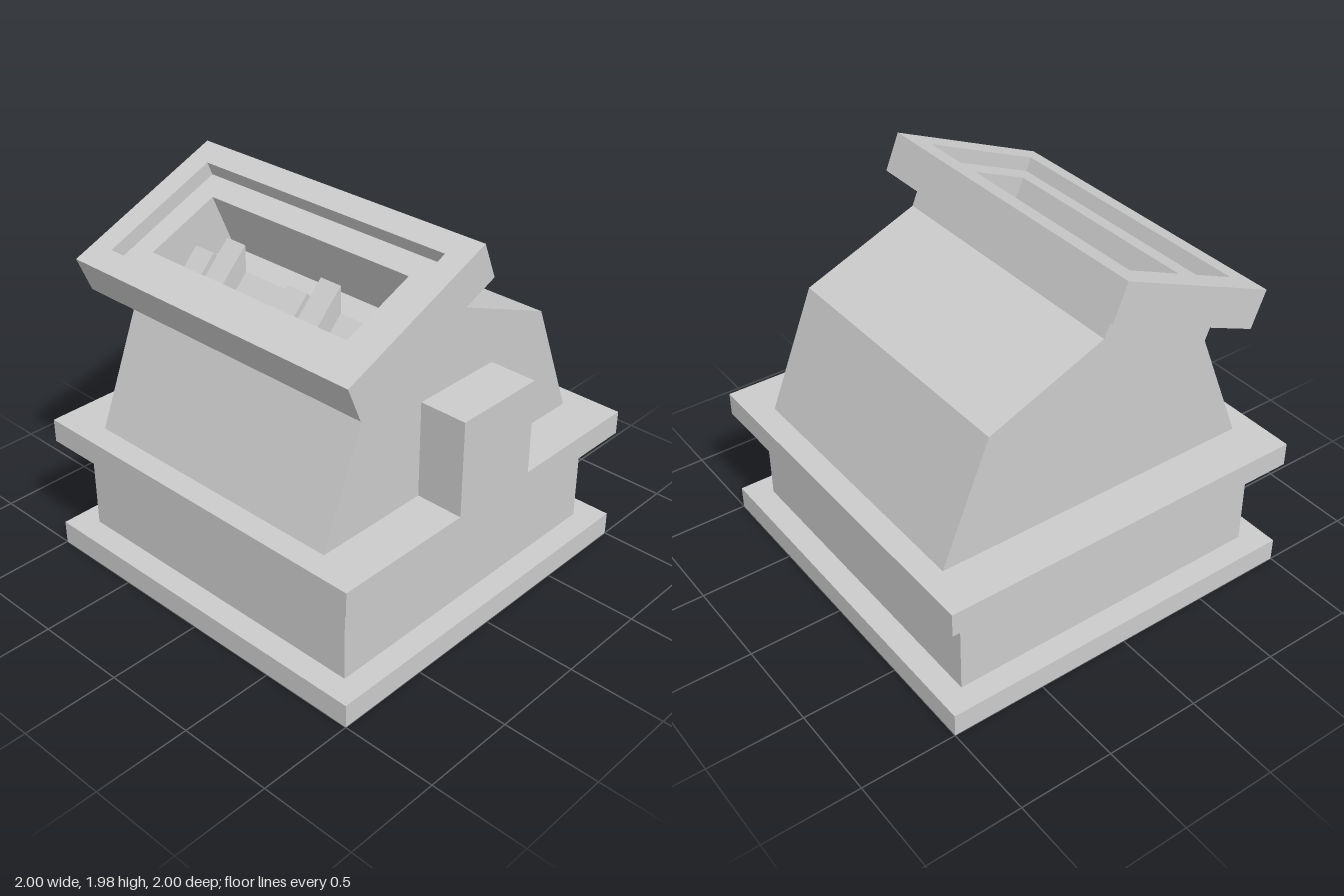
import * as THREE from 'three';

const material = new THREE.MeshStandardMaterial({ color: 0xcccccc, flatShading: true });
const TILT = Math.PI / 8;

// Point on the tilted rim's side plane: u runs down the slope, d into the machine; returns [z, y].
const slope = (u, d) => [
  0.01 + u * Math.cos(TILT) - d * Math.sin(TILT),
  1.98 - u * Math.sin(TILT) - d * Math.cos(TILT),
];

export function createModel() {
  const model = new THREE.Group();

  const add = (name, geometry) => {
    const mesh = new THREE.Mesh(geometry, material);
    mesh.name = name;
    model.add(mesh);
    return mesh;
  };

  const box = (name, w, h, d, x, y, z) =>
    add(name, new THREE.BoxGeometry(w, h, d)).position.set(x, y, z);

  // Side profile of [z, y] points, extruded along x from x0 to x1.
  const prism = (name, points, x0, x1) => {
    const shape = new THREE.Shape(points.map(([z, y]) => new THREE.Vector2(-z, y)));
    const geometry = new THREE.ExtrudeGeometry(shape, { depth: x1 - x0, bevelEnabled: false });
    geometry.rotateY(Math.PI / 2).translate(x0, 0, 0);
    return add(name, geometry);
  };

  // Stepped base
  box('bottomPlate', 2, 0.125, 2, 0, 0.0625, 0);
  box('baseBlock', 1.75, 0.5, 1.75, 0, 0.375, 0);
  box('topPlate', 2, 0.125, 2, 0, 0.6875, 0);

  // Side connector
  box('sideConnector', 0.25, 0.5, 0.5, 0.875, 1, 0);

  // Sloped housing: solid cheeks with a hopper pocket between them
  const rear = [[0.875, 0.75], [-0.875, 0.75], [-0.62, 1.375], [0, 1.63], slope(0.125, 0.075)];
  const front = [slope(0.795, 0.075), [0.62, 1.375]];
  const pocket = [
    slope(0.25, 0.075), [0.082, 1.51], [0.24, 1.51],
    [0.42, 1.33], [0.49, 1.4], slope(0.67, 0.075),
  ];
  prism('rightCheek', [...rear, ...front], -0.75, -0.625);
  prism('leftCheek', [...rear, ...front], 0.625, 0.75);
  prism('hopperBody', [...rear, ...pocket, ...front], -0.625, 0.625);

  // Grinding teeth on the hopper floor
  for (const x of [-0.625, 0]) {
    prism('ridgeTooth', [[0.24, 1.51], [0.33, 1.6], [0.49, 1.44], [0.49, 1.4], [0.42, 1.33]], x, x + 0.125);
    prism('rampTooth', [[0.24, 1.51], [0.24, 1.65], [0.49, 1.4], [0.42, 1.33]], x + 0.125, x + 0.25);
  }

  // Tilted rectangular rim around the hopper mouth
  const rect = (target, w, h) => target.moveTo(-w, -h).lineTo(w, -h).lineTo(w, h).lineTo(-w, h).closePath();
  const rimShape = rect(new THREE.Shape(), 0.875, 0.46);
  rimShape.holes.push(rect(new THREE.Path(), 0.75, 0.335));
  const rimGeometry = new THREE.ExtrudeGeometry(rimShape, { depth: 0.2, bevelEnabled: false });
  rimGeometry.translate(0, 0, -0.2).rotateX(TILT - Math.PI / 2);
  const rim = add('hopperRim', rimGeometry);
  // The extrusion's outer face is centred on the middle of the slope.
  const [z, y] = slope(0.46, 0);
  rim.rotation.x = 0;
  rim.position.set(0, y, z);

  return model;
}
